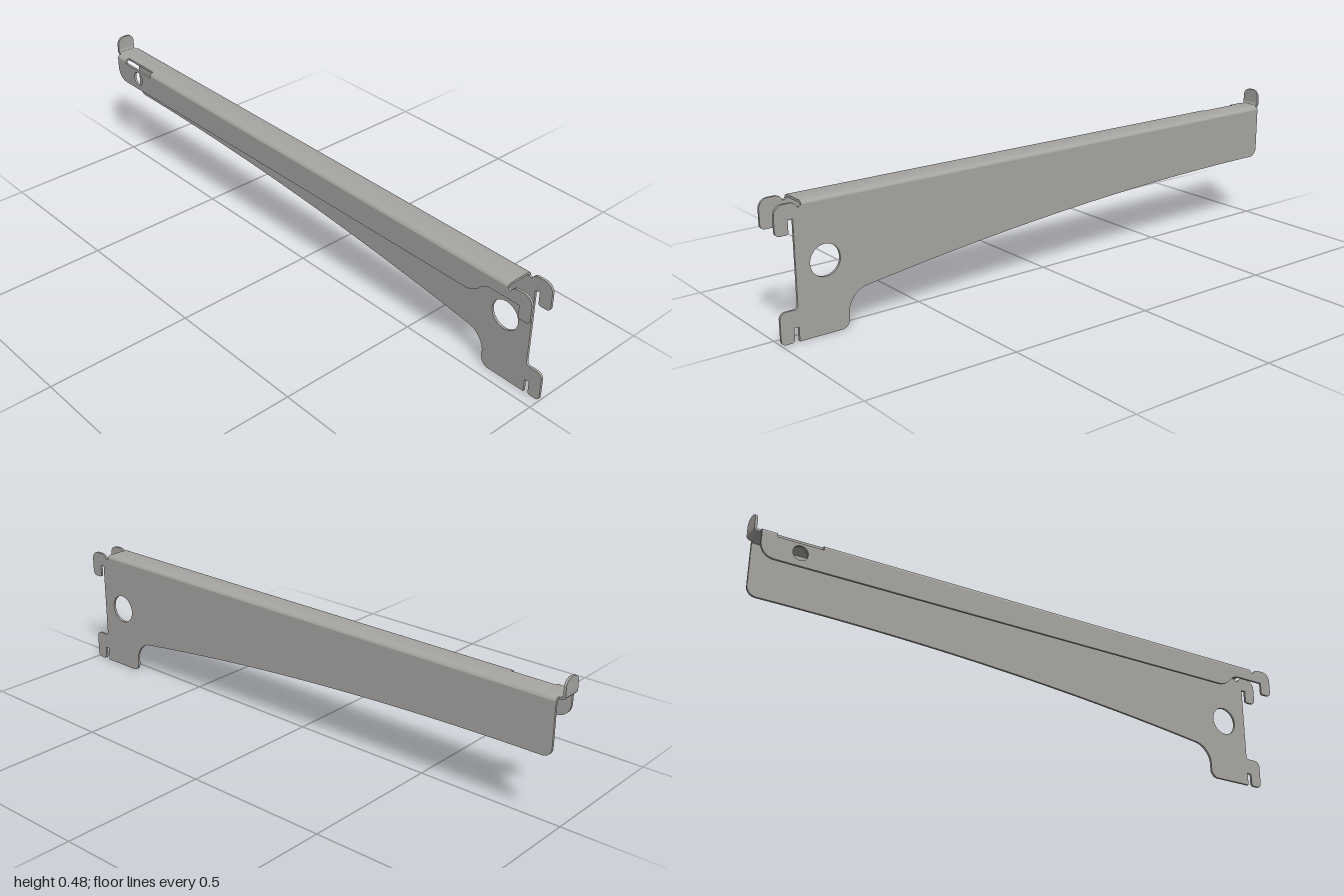
import * as THREE from 'three';
import { toCreasedNormals } from 'three/addons/utils/BufferGeometryUtils.js';

const T = 0.008;      // sheet thickness
const HALF = 0.048;   // half of the channel's outer width
const TOP = 0.42;
const BEND = 0.408;   // height where the bends meet the side plates

// Closed shape from [x, y, cornerRadius] points
function roundedShape(points) {
  const shape = new THREE.Shape();
  const n = points.length;
  points.forEach(([x, y, r = 0], i) => {
    const p = new THREE.Vector2(x, y);
    const toward = ([qx, qy]) => {
      const d = new THREE.Vector2(qx, qy).sub(p);
      return p.clone().addScaledVector(d.clone().normalize(), Math.min(r, d.length() * 0.98));
    };
    const a = toward(points[(i + n - 1) % n]);
    const b = toward(points[(i + 1) % n]);
    if (i === 0) shape.moveTo(a.x, a.y); else shape.lineTo(a.x, a.y);
    if (r > 0) {
      // cubic close to a circular corner
      const k = 0.55;
      const c1 = a.clone().lerp(p, k), c2 = b.clone().lerp(p, k);
      shape.bezierCurveTo(c1.x, c1.y, c2.x, c2.y, b.x, b.y);
    }
  });
  shape.closePath();
  return shape;
}

function addHole(shape, z, y, r) {
  const hole = new THREE.Path();
  hole.absarc(z, y, r, 0, Math.PI * 2, true);
  shape.holes.push(hole);
}

function extrude(shape, depth) {
  return new THREE.ExtrudeGeometry(shape, { depth, bevelEnabled: false, curveSegments: 12 });
}

// Extrude a (z, y) outline along x, ending at outer side xMax
function sideways(shape, width, xMax) {
  return extrude(shape, width).rotateY(-Math.PI / 2).translate(xMax, 0, 0);
}

export function createModel() {
  const group = new THREE.Group();
  const steel = new THREE.MeshStandardMaterial({ color: 0xa8a6a3 });
  steel.name = 'greySteel';
  const add = (name, geometry) => {
    const mesh = new THREE.Mesh(toCreasedNormals(geometry, 0.6), steel);
    mesh.name = name;
    group.add(mesh);
  };

  // Upper hook outline, shared by both sides
  const upperHook = [
    [0.941, 0.372], [0.957, 0.372], [0.957, 0.328, 0.008], [1, 0.328, 0.015],
    [1, TOP, 0.03], [0.927, TOP, 0.02], [0.924, 0.402], [0.913, BEND],
  ];

  // Tall plate with curved lower edge, two hooks and a round hole
  const lowerEdge = [];
  for (let i = 0; i <= 24; i++) {
    const z = -0.94 + (1.65 * i) / 24;
    lowerEdge.push([z, 0.234 - 0.042 * (z + 0.94) ** 2]);
  }
  const tall = roundedShape([
    [-0.98, BEND], [-0.98, 0.234, 0.03], ...lowerEdge,
    [0.773, 0.107, 0.058], [0.773, 0, 0.028],
    [0.941, 0], [0.941, 0.045], [0.957, 0.045], [0.957, 0, 0.01],
    [1, 0, 0.015], [1, 0.1, 0.02], [0.941, 0.1, 0.01],
    ...upperHook,
  ]);
  addHole(tall, 0.845, 0.228, 0.05);
  add('tallSidePlate', sideways(tall, T, HALF));

  // Short flange with one hook, a small hole and a notch under the slot
  const short = roundedShape([
    [-0.98, BEND], [-0.98, 0.326, 0.045], [0.79, 0.326, 0.03], [0.83, 0.372, 0.02],
    ...upperHook,
    [-0.78, BEND], [-0.78, 0.403], [-0.93, 0.403], [-0.93, BEND],
  ]);
  addHole(short, -0.855, 0.37, 0.025);
  add('shortSideFlange', sideways(short, T, -HALF + T));

  // Top web with rounded bends down to both sides
  const inner = HALF - T;
  const rightBend = [[inner, BEND], [HALF, BEND], [HALF, TOP, 0.011]];
  const fullWeb = roundedShape([
    [inner, TOP - T, 0.0035], ...rightBend,
    [-HALF, TOP, 0.011], [-HALF, BEND], [-inner, BEND], [-inner, TOP - T, 0.0035],
  ]);
  const slottedWeb = roundedShape([
    [inner, TOP - T, 0.0035], ...rightBend, [-0.032, TOP], [-0.032, TOP - T],
  ]);
  [
    ['topWebRear', fullWeb, -0.98, -0.93],
    ['topWebSlot', slottedWeb, -0.93, -0.78],
    ['topWeb', fullWeb, -0.78, 0.913],
  ].forEach(([name, shape, z0, z1]) => add(name, extrude(shape, z1 - z0).translate(0, 0, z0)));

  // Rear stop: curved foot and rounded upright tab
  const foot = roundedShape([
    [-0.98, TOP - T], [-1, TOP - T, 0.013], [-1, 0.435],
    [-0.992, 0.435], [-0.992, TOP, 0.006], [-0.98, TOP],
  ]);
  add('rearStopFoot', sideways(foot, 0.066, 0.033));
  const tab = roundedShape([
    [-0.033, 0.435], [0.033, 0.435], [0.033, 0.477, 0.026], [-0.033, 0.477, 0.026],
  ]);
  add('rearStopTab', extrude(tab, T).translate(0, 0, -1));

  return group;
}
